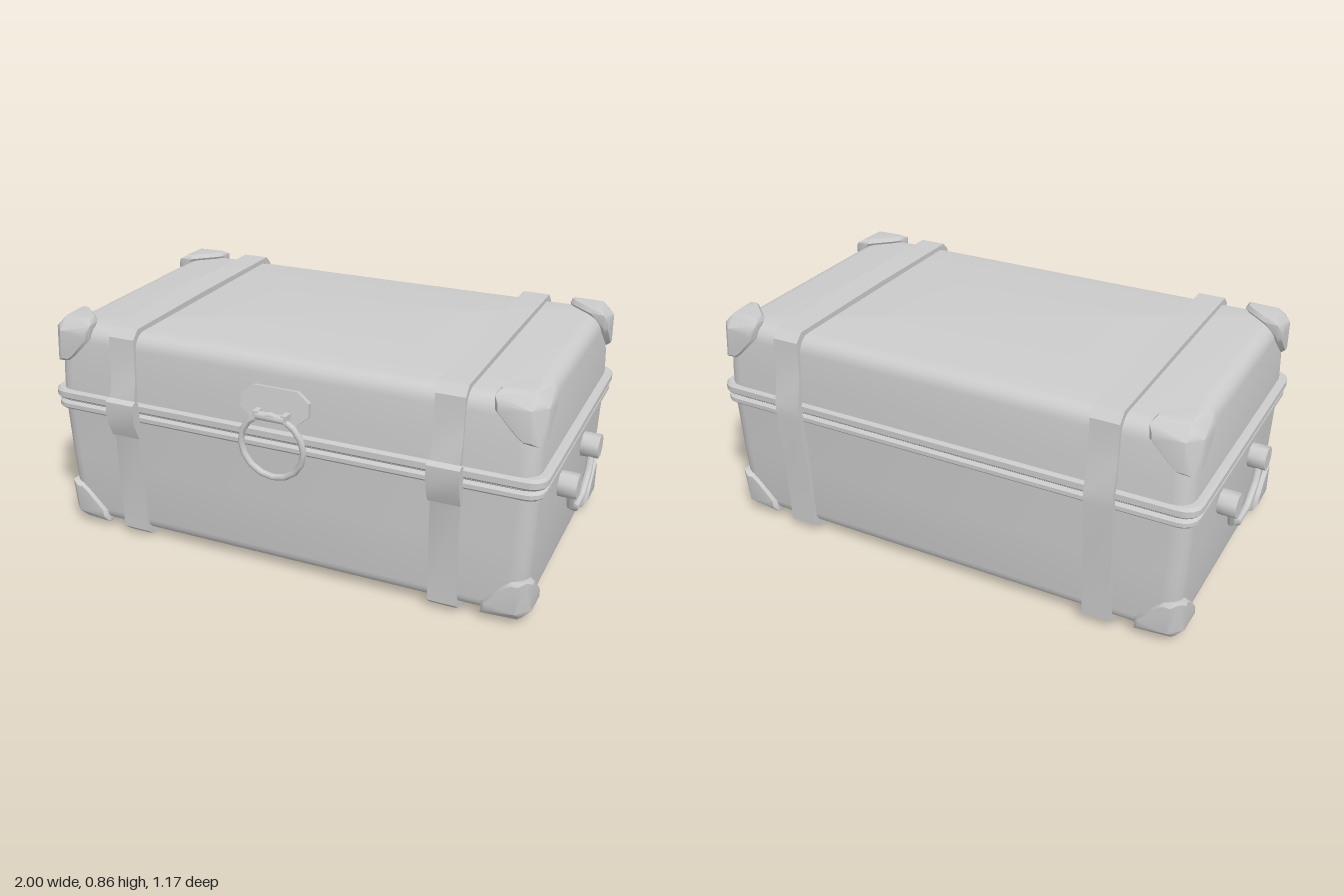
import * as THREE from 'three';
import { toCreasedNormals } from 'three/addons/utils/BufferGeometryUtils.js';
import { ConvexGeometry } from 'three/addons/geometries/ConvexGeometry.js';

const material = new THREE.MeshStandardMaterial({ color: 0xcccccc });
const CZ = -0.013; // middle of the case in z

function addMesh(parent, name, geometry, crease = 0.6) {
  const mesh = new THREE.Mesh(crease ? toCreasedNormals(geometry, crease) : geometry, material);
  mesh.name = name;
  parent.add(mesh);
  return mesh;
}

// Closed stack of rounded rectangles, each [y, half width, half depth, corner radius]
function loft(rings) {
  const S = 4, n = 4 * (S + 1), pos = [], idx = [];
  for (const [y, hx, hz, r] of rings) {
    for (let c = 0; c < 4; c++) {
      const sx = c === 0 || c === 3 ? 1 : -1, sz = c < 2 ? 1 : -1;
      for (let i = 0; i <= S; i++) {
        const a = (c + i / S) * Math.PI / 2;
        pos.push(sx * (hx - r) + r * Math.cos(a), y, CZ + sz * (hz - r) + r * Math.sin(a));
      }
    }
  }
  for (let k = 0; k < rings.length - 1; k++) {
    for (let i = 0; i < n; i++) {
      const a = k * n + i, b = k * n + (i + 1) % n;
      idx.push(a, a + n, b, b, a + n, b + n);
    }
  }
  const top = rings.length - 1, c0 = pos.length / 3;
  pos.push(0, rings[0][0], CZ, 0, rings[top][0], CZ);
  for (let i = 0; i < n; i++) {
    const j = (i + 1) % n;
    idx.push(c0, i, j, c0 + 1, top * n + j, top * n + i);
  }
  const g = new THREE.BufferGeometry();
  g.setAttribute('position', new THREE.Float32BufferAttribute(pos, 3));
  g.setIndex(idx);
  return g;
}

// Rings that round off a horizontal edge; dir is +1 for a top edge, -1 for a bottom edge
function roundedEdge(y, hx, hz, r, dir) {
  const rings = [];
  for (let i = 0; i <= 5; i++) {
    const a = i / 5 * Math.PI / 2, inset = r * (1 - Math.cos(a));
    rings.push([y - dir * r * (1 - Math.sin(a)), hx - inset, hz - inset, 0.065 - inset * 0.6]);
  }
  return dir > 0 ? rings : rings.reverse();
}

// Shape from [x, y] pairs
const polygon = (pts) => new THREE.Shape(pts.map(([x, y]) => new THREE.Vector2(x, y)));

function band(y0, y1, hx, hz) {
  const c = 0.01;
  return loft([[y0, hx - 0.04, hz - 0.04, 0.04], [y0, hx - c, hz - c, 0.05], [y0 + c, hx, hz, 0.06],
    [y1 - c, hx, hz, 0.06], [y1, hx - c, hz - c, 0.05], [y1, hx - 0.04, hz - 0.04, 0.04]]);
}

// Closed strap: outer and inner outlines in (z, y), extruded along x
function strapGeometry(width) {
  const shape = polygon([[0.49, 0.005], [0.525, 0.035], [0.535, 0.44], [0.553, 0.5], [0.553, 0.58],
    [0.53, 0.67], [0.522, 0.825], [0.49, 0.858], [0, 0.862], [-0.52, 0.858], [-0.553, 0.825],
    [-0.558, 0.68], [-0.582, 0.57], [-0.582, 0.52], [-0.565, 0.3], [-0.557, 0.035], [-0.52, 0.008], [0.3, 0]]);
  shape.holes.push(polygon([[0.47, 0.032], [0.505, 0.06], [0.515, 0.48], [0.53, 0.5], [0.53, 0.58],
    [0.51, 0.64], [0.5, 0.81], [0.47, 0.838], [-0.5, 0.838], [-0.53, 0.81],
    [-0.536, 0.66], [-0.56, 0.57], [-0.56, 0.51], [-0.538, 0.3], [-0.533, 0.06], [-0.5, 0.032]]));
  const g = new THREE.ExtrudeGeometry(shape, { depth: width, bevelEnabled: false });
  return g.translate(0, 0, -width / 2).rotateY(-Math.PI / 2);
}

// Corner cap: hull of the same bevelled patch laid on three faces meeting at a corner
function cornerGeometry(sx, sy, sz) {
  const patch = [[0.05, 0.05], [0.16, 0.045], [0.16, 0.07], [0.09, 0.145], [0.07, 0.16], [0.045, 0.16]];
  const rim = [[0.175, 0.02], [0.172, 0.07], [0.095, 0.155], [0.07, 0.172], [0.02, 0.175]];
  const pts = [new THREE.Vector3(0.03, 0.03, 0.03)];
  const lay = (u, v, w) => pts.push(new THREE.Vector3(u, v, w), new THREE.Vector3(w, u, v), new THREE.Vector3(v, w, u));
  patch.forEach(([u, v]) => lay(u, v, 0.003));
  rim.forEach(([u, v]) => lay(u, v, 0.018));
  const y = sy > 0 ? 0.867 : 0.008;
  const hx = sy > 0 ? 0.948 : 0.942;
  for (const p of pts) p.set(sx * (hx - p.x), y - sy * p.y, CZ + sz * (0.542 - p.z));
  return new ConvexGeometry(pts);
}

export function createModel() {
  const model = new THREE.Group();
  model.name = 'travelTrunk';

  // Case halves, bulging slightly towards the seam
  addMesh(model, 'base', loft([...roundedEdge(0.03, 0.918, 0.525, 0.05, -1), [0.3, 0.929, 0.533, 0.065], [0.52, 0.936, 0.538, 0.065]]));
  addMesh(model, 'lid', loft([[0.55, 0.936, 0.538, 0.065], [0.66, 0.932, 0.535, 0.065], ...roundedEdge(0.84, 0.92, 0.525, 0.06, 1)]));

  // Seam rims
  addMesh(model, 'lowerRim', band(0.5, 0.535, 0.956, 0.547));
  addMesh(model, 'seam', band(0.53, 0.55, 0.945, 0.54));
  addMesh(model, 'upperRim', band(0.54, 0.582, 0.963, 0.549));

  // Reinforced corners
  for (const sx of [-1, 1]) for (const sy of [-1, 1]) for (const sz of [-1, 1]) {
    addMesh(model, 'cornerCap', cornerGeometry(sx, sy, sz), 0.75);
  }

  for (const side of [-1, 1]) {
    // Strap with its buckle
    const strap = new THREE.Group();
    strap.name = side > 0 ? 'leftStrap' : 'rightStrap';
    strap.position.x = side * 0.63;
    addMesh(strap, 'strapLoop', strapGeometry(0.105), 0.4);
    const buckle = polygon([[0.525, 0.44], [0.543, 0.44], [0.57, 0.51], [0.572, 0.585], [0.55, 0.595], [0.53, 0.58]]);
    addMesh(strap, 'buckle', new THREE.ExtrudeGeometry(buckle, { depth: 0.118, bevelEnabled: false })
      .translate(0, 0, -0.059).rotateY(-Math.PI / 2), 0.4);
    model.add(strap);

    // Carrying handle: two octagonal knobs and a hanging bail
    const handle = new THREE.Group();
    handle.name = side > 0 ? 'leftHandle' : 'rightHandle';
    handle.position.set(side * 0.97, 0.4, CZ);
    for (const s of [-1, 1]) {
      const knob = addMesh(handle, 'knob', new THREE.CylinderGeometry(0.047, 0.047, 0.09, 8).rotateY(Math.PI / 8).rotateZ(Math.PI / 2), 0.9);
      knob.position.set(-side * 0.015, 0, s * 0.176);
    }
    const arc = new THREE.EllipseCurve(0, 0, 0.182, 0.16, Math.PI, 2 * Math.PI);
    const path = new THREE.CurvePath();
    const pts = arc.getPoints(5).map((p) => new THREE.Vector3(0, p.y, p.x));
    for (let i = 0; i < 5; i++) path.add(new THREE.LineCurve3(pts[i], pts[i + 1]));
    // one tube ring per bend of the bail
    const bail = new THREE.CatmullRomCurve3(pts);
    addMesh(handle, 'bail', new THREE.TubeGeometry(bail, 5, 0.014, 8), 0.9);
    model.add(handle);
  }

  // Lock: back plate, hinge bar and pull ring
  const lock = new THREE.Group();
  lock.name = 'lock';
  const plate = polygon([[-0.09, -0.06], [0.09, -0.06], [0.132, -0.025], [0.132, 0.025],
    [0.085, 0.06], [-0.085, 0.06], [-0.132, 0.025], [-0.132, -0.025]]);
  const plateMesh = addMesh(lock, 'lockPlate', new THREE.ExtrudeGeometry(plate, { depth: 0.03, bevelEnabled: false }), 0.4);
  plateMesh.position.set(0, 0.68, 0.512);
  plateMesh.rotation.x = -0.15;
  const bar = addMesh(lock, 'hingeBar', new THREE.CylinderGeometry(0.017, 0.017, 0.11, 8).rotateZ(Math.PI / 2), 0.9);
  bar.position.set(0, 0.648, 0.568);
  for (const s of [-1, 1]) {
    const lug = addMesh(lock, 'hingeLug', new THREE.BoxGeometry(0.02, 0.036, 0.06), 0.4);
    lug.position.set(s * 0.055, 0.648, 0.55);
  }
  const ring = addMesh(lock, 'pullRing', new THREE.TorusGeometry(0.122, 0.012, 8, 16), 0.9);
  ring.position.set(0, 0.535, 0.566);
  ring.rotation.x = 0.04;
  model.add(lock);

  return model;
}
